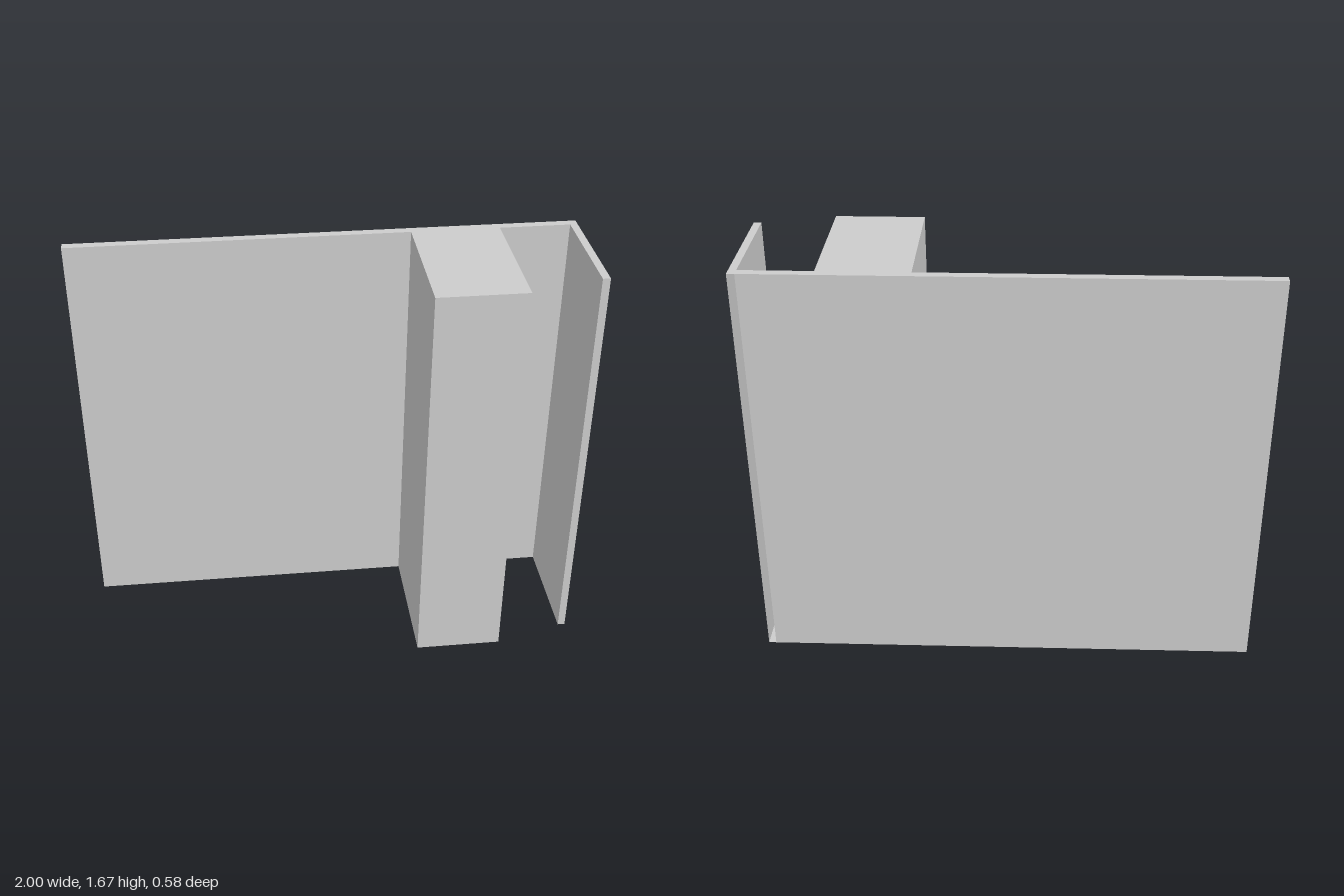
import * as THREE from 'three';

const HEIGHT = 1.675;
const BACK = -0.29;

export function createModel() {
  const model = new THREE.Group();
  model.name = 'wallSection';
  const material = new THREE.MeshStandardMaterial({
    color: 0xcccccc, flatShading: true, side: THREE.DoubleSide,
  });

  // Back wall and its square column, one floor plan of [x, z] corners
  const plan = [
    [-1, BACK], [-1, -0.255], [0.34, -0.255], [0.34, 0.29],
    [0.69, 0.29], [0.69, -0.255], [0.97, -0.255], [0.97, BACK],
  ];
  const shape = new THREE.Shape(plan.map(([x, z]) => new THREE.Vector2(x, -z)));
  const wallGeometry = new THREE.ExtrudeGeometry(shape, { depth: HEIGHT, bevelEnabled: false });
  wallGeometry.rotateX(-Math.PI / 2);
  const wall = new THREE.Mesh(wallGeometry, material);
  wall.name = 'backWallWithColumn';
  model.add(wall);

  // Thin side wall, open along its narrow rear edge (last box face dropped)
  const sideGeometry = new THREE.BoxGeometry(0.03, HEIGHT, 0.5);
  sideGeometry.setIndex(Array.from(sideGeometry.index.array.slice(0, 30)));
  sideGeometry.clearGroups();
  const side = new THREE.Mesh(sideGeometry, material);
  side.name = 'sideWall';
  side.position.set(0.985, HEIGHT / 2, BACK + 0.25);
  model.add(side);

  return model;
}
